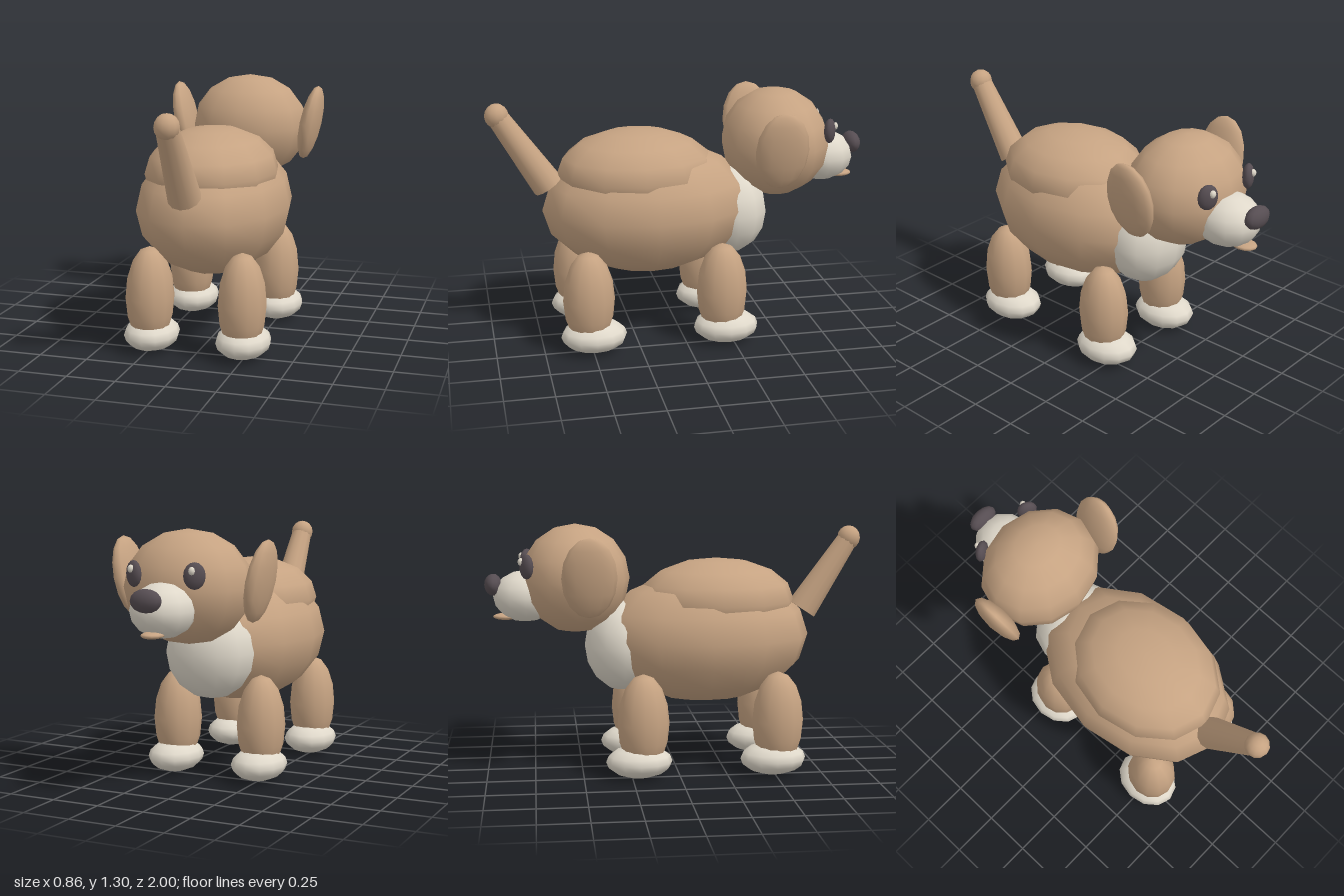
import * as THREE from 'three';

export function createModel() {
  const dog = new THREE.Group();
  dog.name = 'dog';

  const mat = (name, color) => {
    const m = new THREE.MeshStandardMaterial({ color });
    m.name = name;
    return m;
  };
  const tan = mat('tanFur', 0xc6a382);
  const cream = mat('creamFur', 0xdfd8ca);
  const dark = mat('darkNose', 0x564d52);

  // Low-poly smooth ellipsoid: centre, radii, optional rotation
  const blob = (name, material, [x, y, z], [rx, ry, rz], rot = [0, 0, 0], w = 12, h = 8) => {
    const geo = new THREE.SphereGeometry(1, w, h).scale(rx, ry, rz);
    const mesh = new THREE.Mesh(geo, material);
    mesh.name = name;
    mesh.position.set(x, y, z);
    mesh.rotation.set(...rot);
    dog.add(mesh);
    return mesh;
  };

  // Torso, raised back and chest patch
  blob('body', tan, [0, 0.71, 0.16], [0.393, 0.35, 0.56]);
  blob('back', tan, [0, 0.9, 0.22], [0.34, 0.225, 0.42]);
  blob('chest', cream, [0, 0.67, -0.28], [0.24, 0.245, 0.2]);

  // Head and face (the dog looks towards -z)
  blob('head', tan, [0, 1.025, -0.525], [0.33, 0.285, 0.285]);
  blob('muzzle', cream, [0, 0.935, -0.785], [0.16, 0.135, 0.17]);
  blob('nose', dark, [0, 0.995, -0.953], [0.083, 0.057, 0.046]);
  blob('tongue', tan, [0, 0.828, -0.89], [0.055, 0.018, 0.067]);

  for (const s of [1, -1]) {
    const side = s > 0 ? 'left' : 'right';
    // Ears lean outwards at the top
    blob(side + 'Ear', tan, [s * 0.362, 1.06, -0.467], [0.055, 0.208, 0.14], [0, 0, -s * 0.2]);
    // Eyes lie along the curve of the head
    blob(side + 'Eye', dark, [s * 0.163, 1.103, -0.778], [0.053, 0.065, 0.03], [0, -s * 0.5, 0]);
    blob(side + 'EyeGlint', cream, [s * 0.163, 1.128, -0.806], [0.017, 0.02, 0.016], [0, 0, 0], 8, 6);

    // Legs and paws
    for (const [end, z] of [['Front', -0.19], ['Hind', 0.515]]) {
      blob(side + end + 'Leg', tan, [s * 0.242, 0.29, z], [0.124, 0.26, 0.135]);
      blob(side + end + 'Paw', cream, [s * 0.242, 0.09, z - 0.023], [0.14, 0.085, 0.173]);
    }
  }

  // Tapered tail from rump to a round tip
  const base = new THREE.Vector3(0, 0.845, 0.685);
  const tip = new THREE.Vector3(0, 1.225, 0.935);
  const axis = tip.clone().sub(base);
  const tail = new THREE.Mesh(new THREE.CylinderGeometry(0.055, 0.083, axis.length(), 12), tan);
  tail.name = 'tail';
  tail.position.copy(base).add(tip).multiplyScalar(0.5);
  tail.quaternion.setFromUnitVectors(new THREE.Vector3(0, 1, 0), axis.normalize());
  dog.add(tail);
  blob('tailTip', tan, tip.toArray(), [0.062, 0.064, 0.062]);

  return dog;
}
